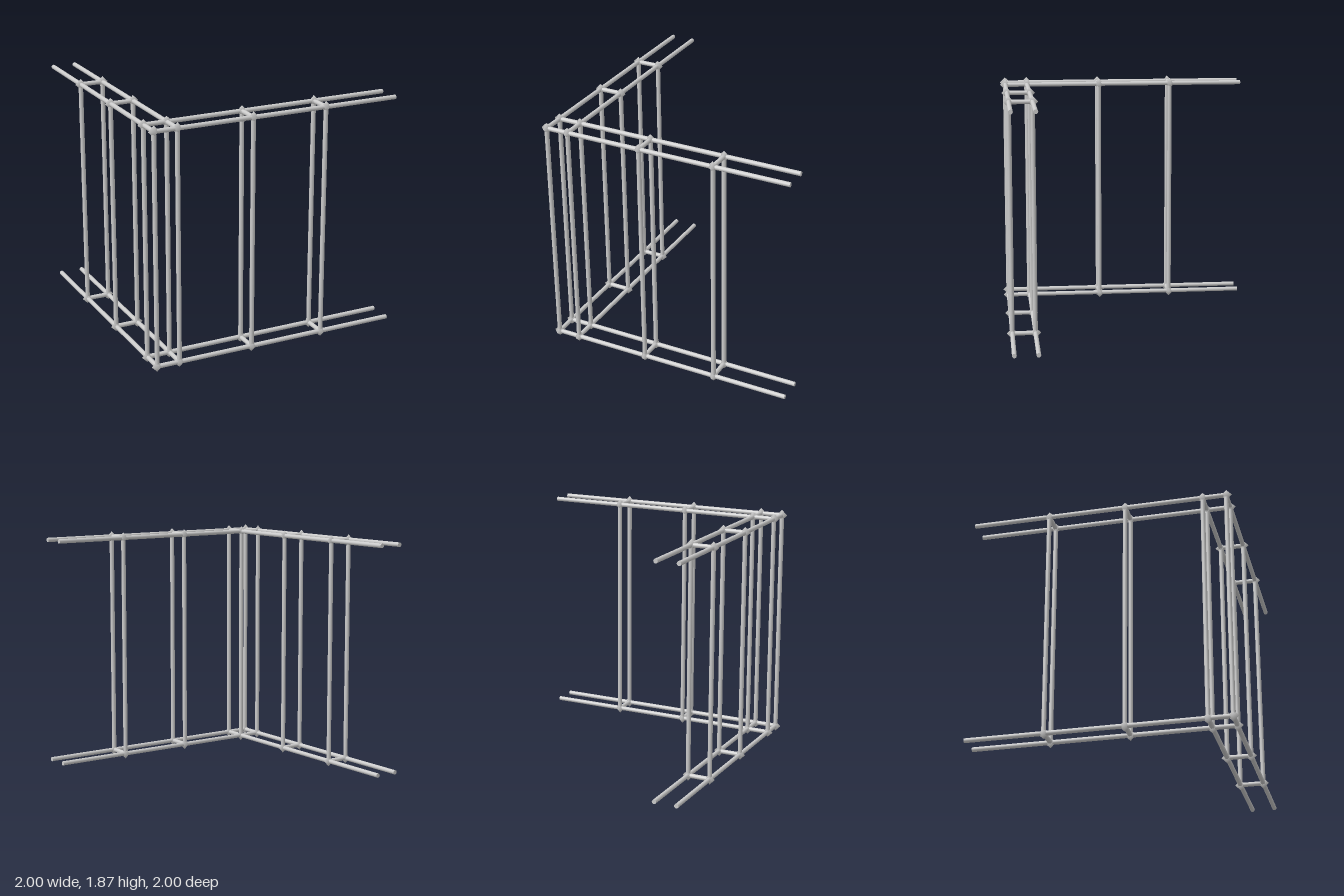
import * as THREE from 'three';

export function createModel() {
  const model = new THREE.Group();
  const material = new THREE.MeshStandardMaterial({ color: 0xcccccc });
  const tubeRadius = 0.0175, jointRadius = 0.043;
  const outer = 0.957, inner = 0.779, end = 1;
  const levels = [jointRadius, 1.823];
  const stations = [-0.186, 0.407]; // frame positions along each wing
  const up = new THREE.Vector3(0, 1, 0);
  const jointGeometry = new THREE.SphereGeometry(jointRadius, 4, 2);

  // Straight round bar between two points
  function bar(name, from, to) {
    const a = new THREE.Vector3(...from), b = new THREE.Vector3(...to);
    const dir = b.clone().sub(a);
    const mesh = new THREE.Mesh(
      new THREE.CylinderGeometry(tubeRadius, tubeRadius, dir.length(), 12), material);
    mesh.position.copy(a).add(b).multiplyScalar(0.5);
    mesh.quaternion.setFromUnitVectors(up, dir.normalize());
    mesh.name = name;
    model.add(mesh);
  }

  // Long rails of the two wings and their short cross ties
  for (const y of levels) {
    for (const d of [outer, inner]) {
      bar('frontRail', [-outer, y, d], [end, y, d]);
      bar('sideRail', [-d, y, outer], [-d, y, -end]);
    }
    for (const s of stations) {
      bar('frontTie', [s, y, inner], [s, y, outer]);
      bar('sideTie', [-outer, y, -s], [-inner, y, -s]);
    }
  }

  // Plan positions of the posts: four at the corner, two per frame
  const posts = [];
  for (const d of [outer, inner]) {
    for (const e of [outer, inner]) posts.push([-d, e]);
    for (const s of stations) posts.push([s, d], [-d, -s]);
  }

  // Upright posts with a pointed joint at each end
  for (const [x, z] of posts) {
    bar('post', [x, levels[0], z], [x, levels[1], z]);
    for (const y of levels) {
      const joint = new THREE.Mesh(jointGeometry, material);
      joint.position.set(x, y, z);
      joint.name = 'joint';
      model.add(joint);
    }
  }
  return model;
}
